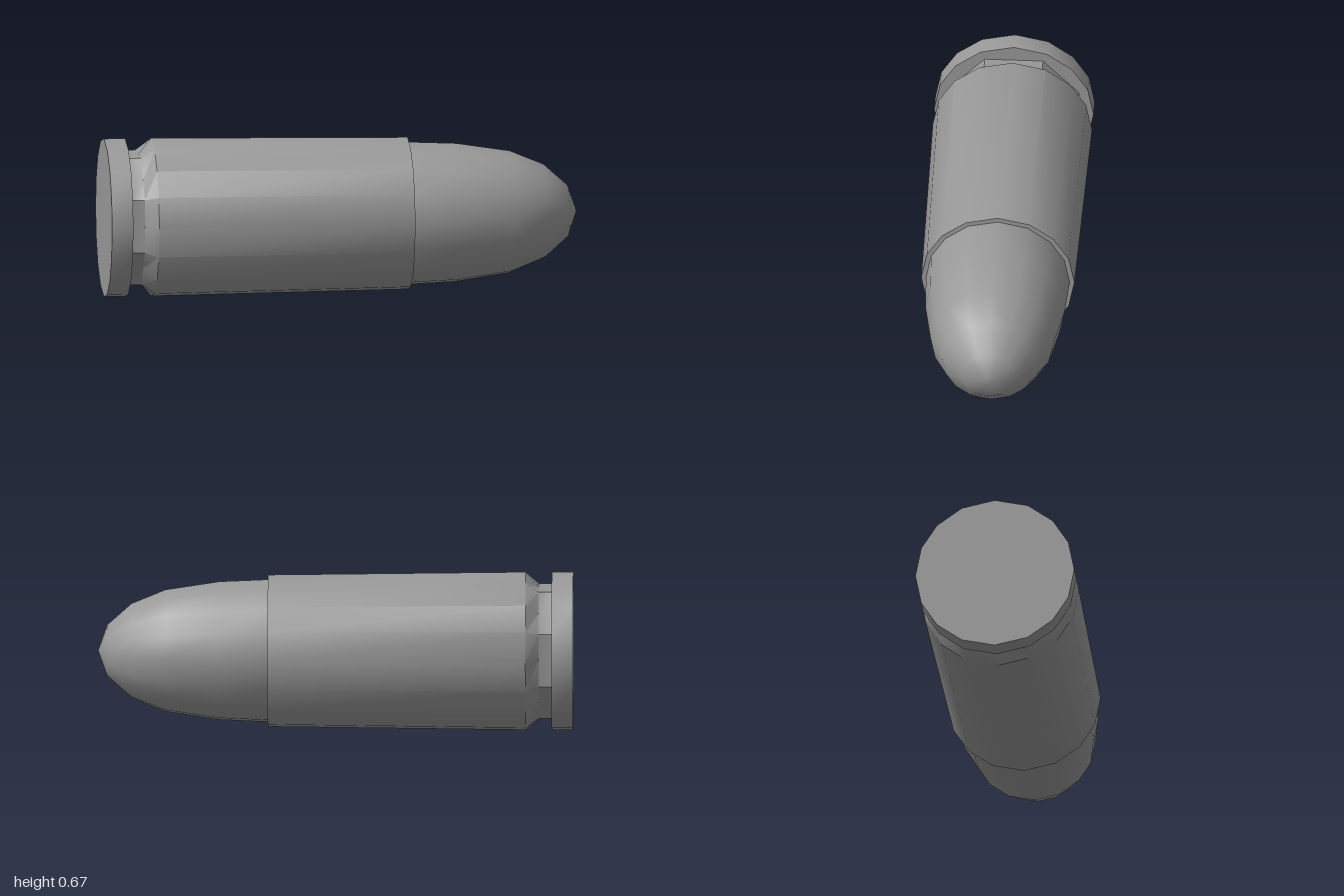
import * as THREE from 'three';
import { toCreasedNormals } from 'three/addons/utils/BufferGeometryUtils.js';

const RADIUS = 0.336;
const SIDES = 16;
// Angles from vertical of the facet corners in one quadrant, slightly uneven
const CORNERS = [0, 24.5, 46.8, 67.8, 90].map(THREE.MathUtils.degToRad);
// Shrink of every other corner, which flattens a ring to eight sides
const FLATTEN = [0.91, 1, 0.93, 1, 0.926];

// Turn a profile of [x, radius, eightSided] entries around the x axis
function turned(name, profile, material) {
  const points = profile.map(([x, r]) => new THREE.Vector2(r, x));
  const geometry = new THREE.LatheGeometry(points, SIDES).rotateZ(-Math.PI / 2);
  const pos = geometry.attributes.position;
  for (let i = 0; i < pos.count; i++) {
    const y = pos.getY(i), z = pos.getZ(i);
    const step = Math.round(Math.atan2(Math.abs(z), Math.abs(y)) / (Math.PI / 8));
    const [, radius, eightSided] = profile[i % profile.length];
    const r = eightSided ? radius * FLATTEN[step] : radius;
    pos.setY(i, step === 4 ? 0 : Math.sign(y) * r * Math.cos(CORNERS[step]));
    pos.setZ(i, step === 0 ? 0 : Math.sign(z) * r * Math.sin(CORNERS[step]));
  }
  const mesh = new THREE.Mesh(toCreasedNormals(geometry, 0.65), material);
  mesh.name = name;
  mesh.position.y = RADIUS;
  return mesh;
}

export function createModel() {
  const model = new THREE.Group();
  model.name = 'cartridge';
  const metal = new THREE.MeshStandardMaterial({ color: 0x999999 });

  // Case with rim, eight-sided extractor groove, chamfer, tapering wall and mouth
  model.add(turned('case', [
    [-1, 0], [-1, RADIUS], [-0.91, RADIUS], [-0.91, 0.296, true], [-0.855, 0.296, true],
    [-0.8, RADIUS], [0.285, 0.323], [0.285, 0.303],
  ], metal));

  // Rounded nose seated in the mouth
  model.add(turned('bullet', [
    [0.285, 0.303], [0.49, 0.294], [0.717, 0.259], [0.86, 0.2], [0.962, 0.109], [1, 0],
  ], metal));

  return model;
}
